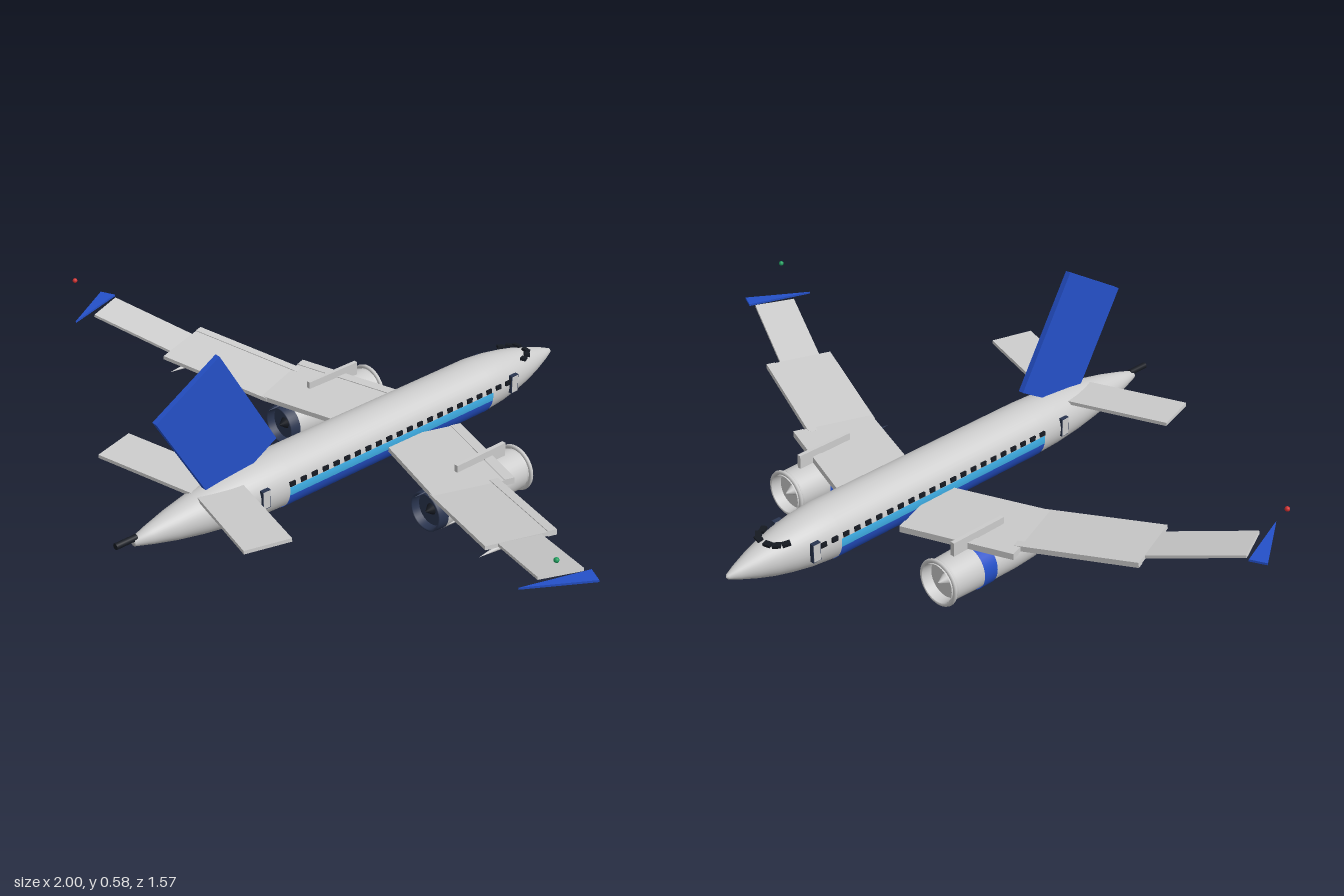
import * as THREE from 'three';

const mat = (color, side = THREE.FrontSide) => new THREE.MeshStandardMaterial({ color, side });
const GREY = mat(0xcccccc), BLUE = mat(0x2450c8), CYAN = mat(0x3fb0e8, THREE.DoubleSide);
const BLUE2 = mat(0x2450c8, THREE.DoubleSide), GREY2 = mat(0xcccccc, THREE.DoubleSide);
const DARK = mat(0x161a22), NAVY = mat(0x2a3550, THREE.DoubleSide);
const RED = mat(0xd03030), GREEN = mat(0x20a060);
const AXIS_Y = 0.15, R = 0.08;

export function createModel() {
  const model = new THREE.Group();
  model.name = 'airliner';

  const add = (name, geo, material, x = 0, y = 0, z = 0, parent = model) => {
    const m = new THREE.Mesh(geo, material);
    m.name = name;
    m.position.set(x, y, z);
    parent.add(m);
    return m;
  };
  const box = (w, h, d) => new THREE.BoxGeometry(w, h, d);
  // Lathe along z from [z, radius] pairs
  const latheZ = (pts, seg = 40) =>
    new THREE.LatheGeometry(pts.map(([z, r]) => new THREE.Vector2(r, z)), seg).rotateX(Math.PI / 2);

  // Swept panel: a, b are the ends of its leading edge, the chord runs backwards
  const panel = (name, s, a, b, chord, thick, material = GREY) => {
    const A = new THREE.Vector3(a[0] * s, a[1], a[2]);
    const B = new THREE.Vector3(b[0] * s, b[1], b[2]);
    const X = B.clone().sub(A), len = X.length();
    X.normalize();
    const Z = new THREE.Vector3(-X.z * s, 0, X.x * s).normalize();
    const Y = Z.clone().cross(X);
    const m = add(name, box(len, thick, chord), material);
    m.quaternion.setFromRotationMatrix(new THREE.Matrix4().makeBasis(X, Y, Z));
    m.position.copy(A).add(B).multiplyScalar(0.5).addScaledVector(Z, chord / 2);
  };

  // Fuselage
  add('fuselage', latheZ([
    [-0.785, 0], [-0.78, 0.007], [-0.75, 0.02], [-0.7, 0.038], [-0.65, 0.053], [-0.6, 0.064],
    [-0.54, 0.074], [-0.47, R], [0.27, R], [0.36, 0.077], [0.45, 0.069], [0.53, 0.058],
    [0.61, 0.043], [0.68, 0.026], [0.73, 0.012], [0.73, 0],
  ]), GREY, 0, AXIS_Y, 0);
  add('tailExhaust', new THREE.CylinderGeometry(0.009, 0.009, 0.065, 16).rotateX(Math.PI / 2),
    DARK, 0, 0.16, 0.7525);

  // Belly paint and side stripes as thin curved shells
  const shell = (name, from, to, material) => add(name, new THREE.CylinderGeometry(
    R + 0.001, R + 0.001, 0.75, 32, 1, true,
    THREE.MathUtils.degToRad(from), THREE.MathUtils.degToRad(to - from),
  ).rotateX(Math.PI / 2), material, 0, AXIS_Y, -0.095);
  shell('bellyPaint', -79, 79, BLUE2);
  shell('leftStripe', 79, 97, CYAN);
  shell('rightStripe', -97, -79, CYAN);

  // Tail fin
  const fin = add('tailFin', box(0.016, 0.356, 0.236), BLUE, 0, 0.3675, 0.455);
  fin.rotation.x = Math.PI / 6;

  // Engine profiles
  const nacelle = latheZ([
    [-0.03, 0.057], [-0.03, 0.059], [-0.1, 0.062], [-0.25, 0.061], [-0.325, 0.059],
  ].reverse());
  const inlet = latheZ([[-0.345, 0.055], [-0.27, 0.05]]);
  const lip = new THREE.TorusGeometry(0.061, 0.006, 10, 40);
  const band = new THREE.CylinderGeometry(0.064, 0.064, 0.046, 40, 1, true).rotateX(Math.PI / 2);
  const nozzle = latheZ([[-0.036, 0.059], [0, 0.056], [0, 0.05], [-0.03, 0.046]]);
  const disc = new THREE.CylinderGeometry(0.057, 0.057, 0.008, 40).rotateX(Math.PI / 2);
  const cone = (r, h, dir) => new THREE.ConeGeometry(r, h, 20).rotateX(dir * Math.PI / 2);

  for (const s of [1, -1]) {
    const side = s > 0 ? 'left' : 'right';

    // Wing in three panels, with slats on the leading edges
    const inner = [[0.118, 0.133, -0.305], [0.43, 0.146, -0.2]];
    const mid = [[0.4, 0.145, -0.168], [0.72, 0.192, -0.053]];
    panel(side + 'InnerWing', s, ...inner, 0.235, 0.014);
    panel(side + 'InnerSlat', s, ...inner, 0.03, 0.018);
    panel(side + 'MidWing', s, ...mid, 0.198, 0.011);
    panel(side + 'MidSlat', s, ...mid, 0.025, 0.015);
    panel(side + 'OuterWing', s, [0.7, 0.19, -0.015], [0.94, 0.257, 0.09], 0.12, 0.008);
    panel(side + 'Tailplane', s, [0.03, 0.2, 0.403], [0.337, 0.218, 0.49], 0.13, 0.01);

    // Winglet
    const tri = new THREE.Shape([[0.955, 0.08], [0.998, 0.1], [0.893, 0.265]]
      .map(([x, z]) => new THREE.Vector2(x * s, z)));
    add(side + 'Winglet', new THREE.ExtrudeGeometry(tri, { depth: 0.006, bevelEnabled: false })
      .rotateX(Math.PI / 2), BLUE2, 0, 0.261, 0);
    add(side + 'NavLight', new THREE.SphereGeometry(0.007, 12, 8), s > 0 ? GREEN : RED,
      s * 0.96, 0.35, 0.213);

    // Flap track fairings under the wing
    [[0.3, 0.133, -0.01], [0.455, 0.136, 0.02], [0.63, 0.152, 0.08]].forEach(([x, y, z], i) =>
      add(side + 'FlapFairing' + i, cone(0.011, 0.1, 1), i ? GREY : NAVY, s * x, y, z));

    // Engine
    const engine = new THREE.Group();
    engine.name = side + 'Engine';
    engine.position.set(s * 0.3, 0.07, 0);
    model.add(engine);
    add('nacelle', nacelle, GREY2, 0, 0, 0, engine);
    add('inletDuct', inlet, GREY2, 0, 0, 0, engine);
    add('inletLip', lip, GREY, 0, 0, -0.338, engine);
    add('nacelleBand', band, BLUE2, 0, 0, -0.212, engine);
    add('exhaustNozzle', nozzle, NAVY, 0, 0, 0, engine);
    add('fan', disc, GREY, 0, 0, -0.31, engine);
    add('spinner', cone(0.016, 0.03, -1), GREY, 0, 0, -0.327, engine);
    add('exhaustPlate', disc, NAVY, 0, 0, -0.026, engine);
    add('exhaustCone', cone(0.018, 0.024, 1), DARK, 0, 0, -0.012, engine);
    add('pylon', box(0.012, 0.045, 0.18), GREY, 0, 0.077, -0.2, engine);

    // Cabin windows and doors
    for (let i = 0; i < 22; i++) {
      add(side + 'Window' + i, box(0.006, 0.013, 0.019), DARK, s * 0.0785, 0.168, 0.27 - i * 0.0381);
    }
    for (const z of [0.36, -0.555]) {
      add(side + 'DoorFrame', box(0.012, 0.054, 0.026), NAVY, s * 0.0755, 0.157, z);
      add(side + 'Door', box(0.014, 0.05, 0.022), GREY, s * 0.0755, 0.157, z);
    }

    // Cockpit windows
    [[0.018, 0.202, -0.662, 0.2], [0.036, 0.2, -0.648, 0.7], [0.046, 0.199, -0.625, 1.1]]
      .forEach(([x, y, z, yaw], i) => {
        const w = add(side + 'CockpitWindow' + i, box(0.022, 0.008, 0.016), DARK, s * x, y, z);
        w.rotation.set(-0.2, -s * yaw, 0);
      });
  }
  return model;
}
